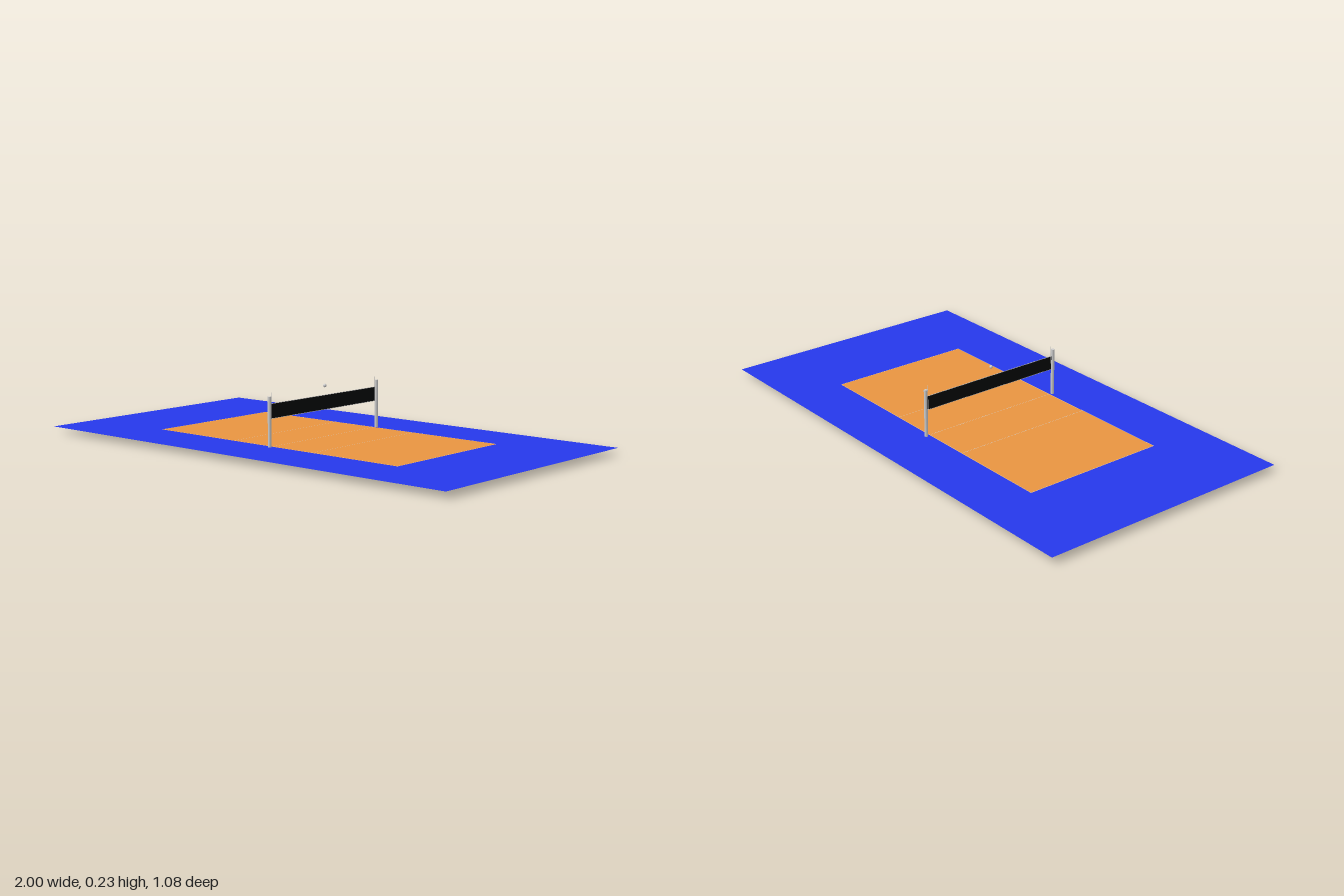
import * as THREE from 'three';

const mat = (color, side = THREE.FrontSide) => new THREE.MeshStandardMaterial({ color, side });

export function createModel() {
  const group = new THREE.Group();
  const grey = mat(0xcccccc);
  const white = mat(0xeeeeee, THREE.DoubleSide);
  const floorY = 0.0245; // the posts are sunk through the floor down to y = 0

  const add = (name, geometry, material, x, y, z) => {
    const mesh = new THREE.Mesh(geometry, material);
    mesh.name = name;
    mesh.position.set(x, y, z);
    group.add(mesh);
  };
  // Flat rectangle lying on the floor
  const sheet = (name, w, d, material, x, y, z) =>
    add(name, new THREE.PlaneGeometry(w, d).rotateX(-Math.PI / 2), material, x, y, z);

  // Surround and playing court
  sheet('surround', 2, 1.084, mat(0x2638ea, THREE.DoubleSide), 0, floorY, 0);
  sheet('court', 1.216, 0.608, mat(0xe89440, THREE.DoubleSide), 0, floorY + 0.0005, 0);

  // Painted court lines
  const lineW = 0.0015, lineY = floorY + 0.001;
  for (const x of [-0.607, -0.203, 0, 0.203, 0.607]) {
    sheet('crossLine', lineW, 0.608, white, x, lineY, 0);
  }
  for (const s of [-1, 1]) sheet('sideLine', 1.216, lineW, white, 0, lineY, s * 0.303);

  // Net with its top and bottom bands
  add('net', new THREE.BoxGeometry(0.0006, 0.056, 0.62), mat(0x050806), 0, 0.162, 0);
  for (const y of [0.1335, 0.1905]) {
    add('netBand', new THREE.BoxGeometry(0.001, 0.002, 0.62), grey, 0, y, 0);
  }

  // Posts and antennas on both sides
  for (const s of [-1, 1]) {
    add('post', new THREE.CylinderGeometry(0.007, 0.007, 0.219, 20), grey, 0, 0.1095, s * 0.318);
    add('antenna', new THREE.CylinderGeometry(0.0007, 0.0007, 0.1, 8), grey, 0, 0.183, s * 0.307);
  }

  // Ball above the net
  add('ball', new THREE.SphereGeometry(0.007, 20, 14), grey, 0, 0.228, 0);

  return group;
}
